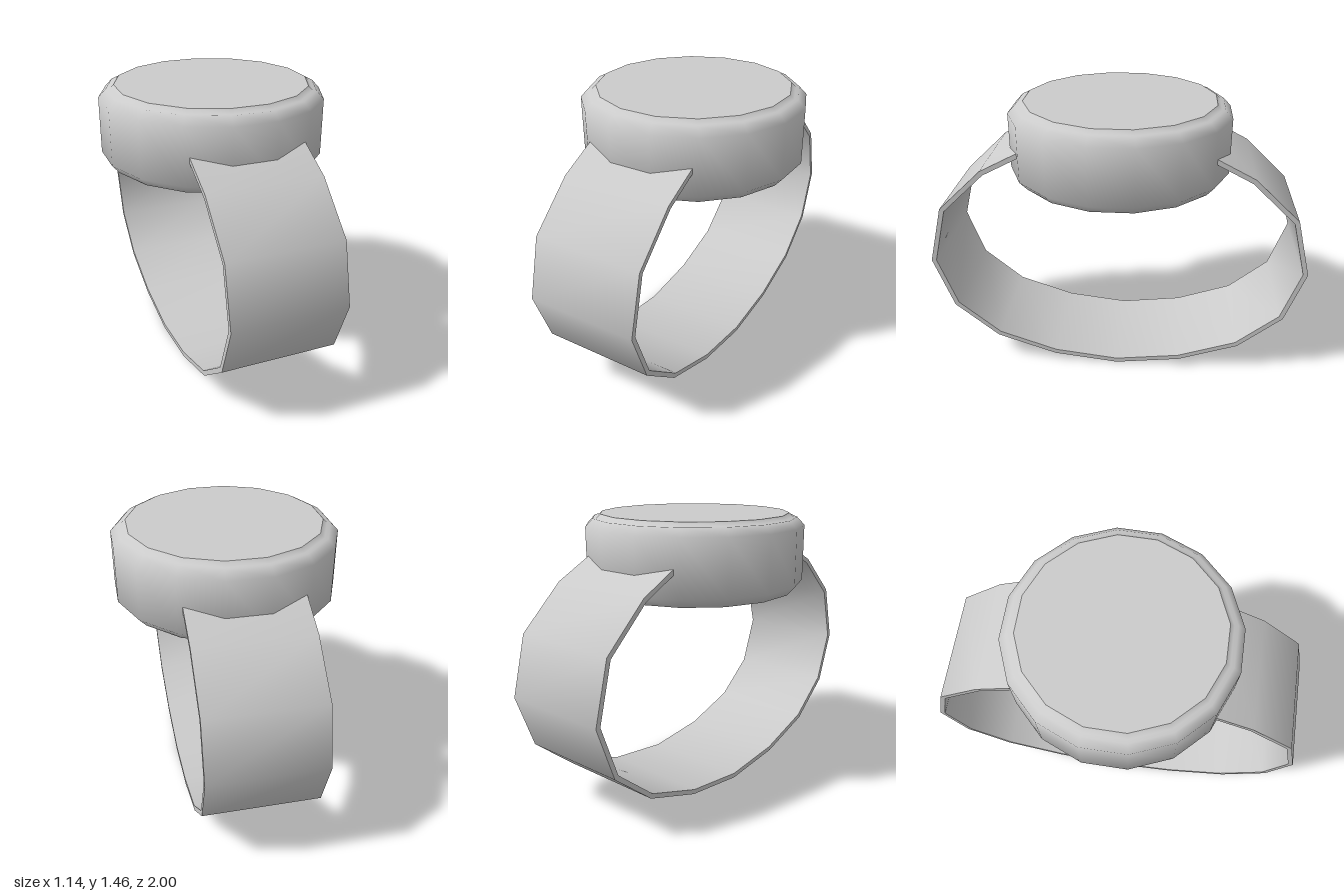
import * as THREE from 'three';
import { toCreasedNormals } from 'three/addons/utils/BufferGeometryUtils.js';

const SIDES = 16;
const BAND_WIDTH = 0.59;
const BAND_THICKNESS = 0.025;

export function createModel() {
  const model = new THREE.Group();
  model.name = 'wristwatch';
  const material = new THREE.MeshStandardMaterial({ color: 0xcccccc });

  const add = (name, geometry) => {
    const mesh = new THREE.Mesh(geometry, material);
    mesh.name = name;
    model.add(mesh);
    return mesh;
  };

  // Case: sixteen-sided drum with bevelled rims and a small raised bezel
  const profile = [
    [0, 1.065], [0.54, 1.065], [0.58, 1.11], [0.58, 1.4],
    [0.541, 1.441], [0.522, 1.441], [0.5, 1.462],
  ].map(([r, y]) => new THREE.Vector2(r, y));
  const caseGeometry = new THREE.LatheGeometry(profile, SIDES, Math.PI / SIDES);
  add('watchCase', toCreasedNormals(caseGeometry, 0.9));

  // Flat dial closing the bezel
  const dial = new THREE.CircleGeometry(0.5, SIDES, Math.PI / SIDES);
  dial.rotateX(-Math.PI / 2);
  add('dial', dial).position.y = 1.462;

  // Strap: one mirrored (z, y) path, open at the top where it enters the case
  const half = [
    [0.41, 1.297], [0.69, 1.152], [0.922, 0.932], [1, 0.625],
    [0.9, 0.345], [0.67, 0.152], [0.35, 0.042],
  ];
  const outer = [...half, [0, 0], ...half.map(([z, y]) => [-z, y]).reverse()]
    .map(([z, y]) => new THREE.Vector2(z, y));

  // Inner side: outer path moved inwards with mitred corners
  const normalOf = (a, b) => new THREE.Vector2(a.y - b.y, b.x - a.x).normalize().negate();
  const inner = outer.map((p, i) => {
    const before = normalOf(outer[Math.max(i - 1, 0)], outer[Math.max(i, 1)]);
    const last = outer.length - 1;
    const after = normalOf(outer[Math.min(i, last - 1)], outer[Math.min(i + 1, last)]);
    const miter = before.clone().add(after).normalize();
    return p.clone().addScaledVector(miter, -BAND_THICKNESS / miter.dot(before));
  });
  // Make sure the inner path lies inside the loop
  const bottom = half.length;
  if (inner[bottom].y < outer[bottom].y) {
    inner.forEach((p, i) => p.lerpVectors(p, outer[i], 2));
  }

  const strap = new THREE.ExtrudeGeometry(
    new THREE.Shape([...outer, ...inner.reverse()]),
    { depth: BAND_WIDTH, bevelEnabled: false },
  );
  strap.translate(0, 0, -BAND_WIDTH / 2);
  strap.rotateY(-Math.PI / 2);
  add('strap', toCreasedNormals(strap, 0.85));

  return model;
}
